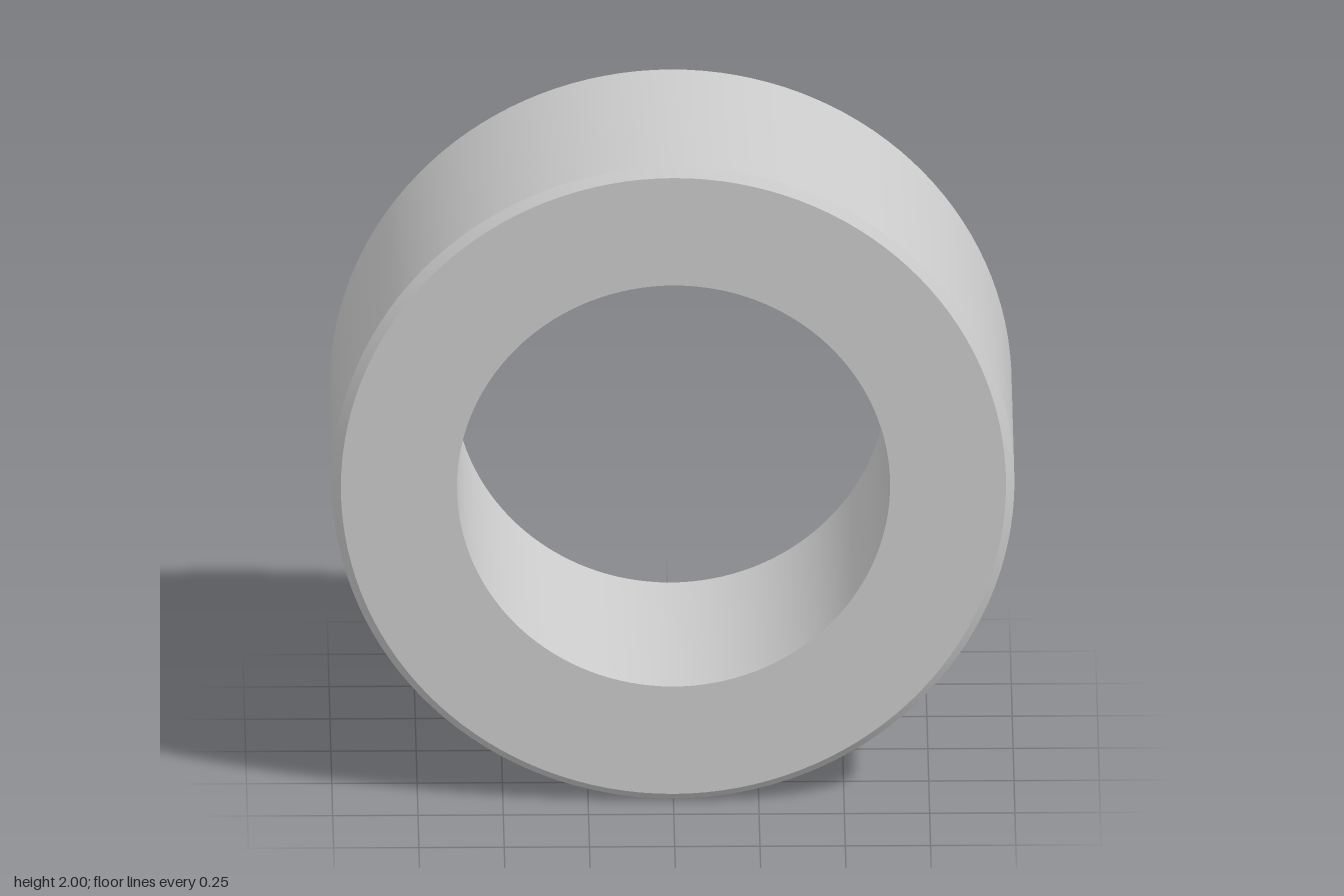
import * as THREE from 'three';
import { toCreasedNormals } from 'three/addons/utils/BufferGeometryUtils.js';

export function createModel() {
  const group = new THREE.Group();
  group.name = 'spacerRing';

  const outer = 1, bore = 0.635, half = 0.403, chamfer = 0.025;

  // Closed cross-section: straight bore, flat faces, chamfered outer rims
  const profile = [
    [bore, -half],
    [outer - chamfer, -half],
    [outer, -half + chamfer],
    [outer, half - chamfer],
    [outer - chamfer, half],
    [bore, half],
    [bore, -half],
  ].map(([r, y]) => new THREE.Vector2(r, y));

  // Revolve, then turn the axis to face the front
  const geometry = toCreasedNormals(new THREE.LatheGeometry(profile, 128), Math.PI / 6);
  geometry.rotateX(Math.PI / 2);

  const ring = new THREE.Mesh(geometry, new THREE.MeshStandardMaterial({ color: 0xcccccc }));
  ring.name = 'ring';
  ring.position.y = outer;
  group.add(ring);
  return group;
}
